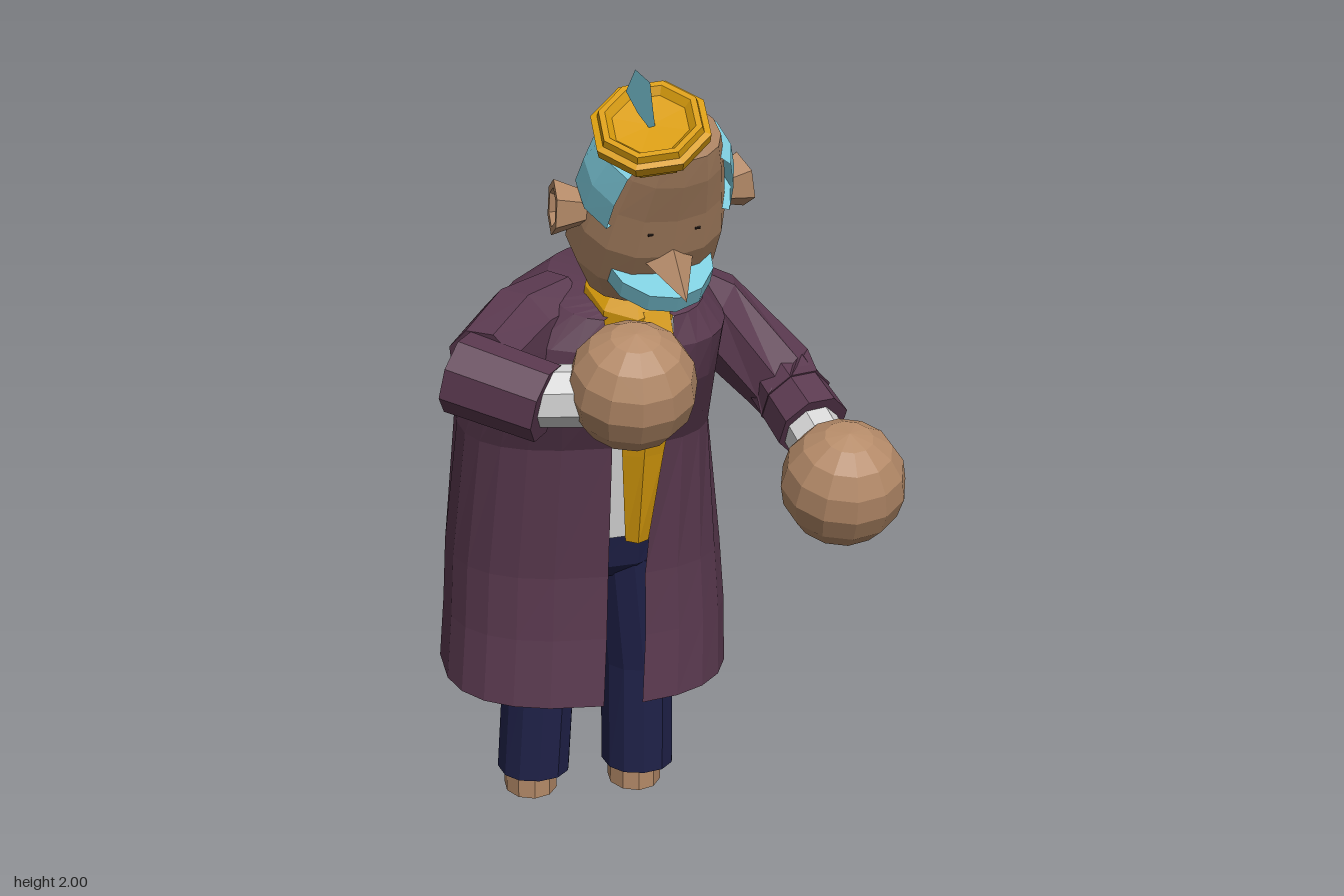
import * as THREE from 'three';

const mat = (name, color, side = THREE.FrontSide) => {
  const m = new THREE.MeshStandardMaterial({ color, side });
  m.name = name;
  return m;
};

// Faceted normals for the low-poly look
function facet(geo) {
  const g = geo.index ? geo.toNonIndexed() : geo;
  g.computeVertexNormals();
  return g;
}

// Skin a list of rings (arrays of Vector3), each ring counter-clockwise about the path
function loft(rings, closed = true, capped = true) {
  const pos = [];
  const tri = (...p) => p.forEach((v) => pos.push(v.x, v.y, v.z));
  const n = rings[0].length;
  for (let r = 0; r < rings.length - 1; r++) {
    for (let i = 0; i < (closed ? n : n - 1); i++) {
      const j = (i + 1) % n, a = rings[r], b = rings[r + 1];
      tri(a[i], a[j], b[j]);
      tri(a[i], b[j], b[i]);
    }
  }
  if (closed && capped) {
    [rings[0], rings[rings.length - 1]].forEach((ring, end) => {
      const c = ring.reduce((s, v) => s.add(v), new THREE.Vector3()).divideScalar(n);
      ring.forEach((v, i) => {
        const w = ring[(i + 1) % n];
        if (end) tri(c, v, w); else tri(c, w, v);
      });
    });
  }
  const g = new THREE.BufferGeometry();
  g.setAttribute('position', new THREE.Float32BufferAttribute(pos, 3));
  return g;
}

// Rounded cross-section: level = [yBack, yFront, xMin, xMax, zBack, zFront];
// smaller exponents give squarer corners
function section([yb, yf, x0, x1, zb, zf], angles, eFront = 1, eBack = eFront) {
  return angles.map((a) => {
    const pw = (v) => Math.sign(v) * Math.abs(v) ** (Math.cos(a) > 0 ? eFront : eBack);
    const s = pw(Math.sin(a)), c = pw(Math.cos(a));
    return new THREE.Vector3((x0 + x1) / 2 + s * (x1 - x0) / 2,
      yb + (yf - yb) * (c + 1) / 2, (zb + zf) / 2 + c * (zf - zb) / 2);
  });
}
const span = (a, b, n) => Array.from({ length: n + 1 }, (_, i) => a + (b - a) * i / n);
const around = (n) => span(0, Math.PI * 2, n).slice(0, n);

// Limb through stations [x, y, z, radius]
function limb(stations, sides = 8) {
  const pts = stations.map((s) => new THREE.Vector3(s[0], s[1], s[2]));
  return loft(pts.map((p, k) => {
    const t = pts[Math.min(k + 1, pts.length - 1)].clone().sub(pts[Math.max(k - 1, 0)]).normalize();
    const u = new THREE.Vector3(0, 1, 0).addScaledVector(t, -t.y).normalize();
    const v = t.clone().cross(u);
    return around(sides).map((a) => p.clone()
      .addScaledVector(u, Math.cos(a + 0.39) * stations[k][3])
      .addScaledVector(v, Math.sin(a + 0.39) * stations[k][3]));
  }));
}

export function createModel() {
  const model = new THREE.Group();
  const skin = mat('skin', 0xb48a68);
  const plum = mat('plum cloth', 0x5a394f, THREE.DoubleSide);
  const navy = mat('navy cloth', 0x20224a);
  const gold = mat('gold', 0xd79b0c, THREE.DoubleSide);
  const aqua = mat('aqua hair', 0x7dcbdc, THREE.DoubleSide);
  const white = mat('white cloth', 0xd6d6d6);
  const dark = mat('dark eye', 0x2c1f1a);
  const add = (name, geo, m, parent = model) => {
    const mesh = new THREE.Mesh(facet(geo), m);
    mesh.name = name;
    parent.add(mesh);
    return mesh;
  };

  // Legs and feet
  [[-0.278, -0.262, -0.25, 'right'], [-0.015, -0.018, -0.05, 'left']].forEach(([x, knee, hip, side]) => {
    add(side + 'Leg', loft([[0.06, x, -0.312, -0.1], [0.35, knee, -0.302, -0.08], [0.66, hip, -0.25, -0.03]]
      .map(([y, cx, zb, zf]) => section([y, y, cx - 0.09, cx + 0.09, zb, zf], around(12), 0.9))), navy);
    const foot = new THREE.CylinderGeometry(0.066, 0.066, 0.07, 10);
    foot.scale(1, 1, 1.25).translate(x - 0.008, 0.035, -0.208);
    add(side + 'Foot', foot, skin);
  });
  add('hips', loft([[0.62, 0.62, -0.32, 0.02, -0.28, -0.05], [0.66, 0.66, -0.34, 0.04, -0.3, -0.01],
    [0.79, 0.77, -0.34, 0.04, -0.3, 0.02]].map((l) => section(l, around(12), 0.8))), navy);

  // Shirt inside the coat
  add('shirt', loft([[0.75, 0.75, -0.33, 0.04, -0.3, 0.026], [1.0, 1.0, -0.33, 0.06, -0.3, 0.062],
    [1.2, 1.17, -0.3, 0.08, -0.2, 0.142], [1.34, 1.28, -0.18, 0.03, -0.05, 0.135]]
    .map((l) => section(l, around(12), 0.8))), white);

  // Long coat, open down the front; the last two numbers are the opening edges
  const coat = [
    [0.36, 0.33, -0.5, 0.2, -0.505, 0.06, -0.14, -0.045],
    [0.5, 0.5, -0.487, 0.2, -0.512, 0.045, -0.13, -0.035],
    [0.66, 0.66, -0.48, 0.188, -0.505, 0.042, -0.125, -0.035],
    [1.0, 1.0, -0.455, 0.148, -0.425, 0.08, -0.12, -0.008],
    [1.2, 1.17, -0.41, 0.145, -0.325, 0.165, -0.13, 0.003],
    [1.35, 1.27, -0.35, 0.155, -0.235, 0.178, -0.14, 0.005],
    [1.425, 1.34, -0.25, 0.1, -0.165, 0.165, -0.15, 0.01],
    [1.44, 1.35, -0.15, 0.0, -0.03, 0.15, -0.12, -0.02],
  ];
  const coatRings = coat.map((l, k) => {
    const e = k < 4 ? 0.8 : 0.68;
    const edge = (x) => {
      const s = (x - (l[2] + l[3]) / 2) / ((l[3] - l[2]) / 2);
      return Math.sign(s) * Math.asin(Math.abs(s) ** (1 / e));
    };
    const ring = section(l, span(edge(l[7]), Math.PI * 2 + edge(l[6]), 22), e, 0.7);
    // Tuck in the rear right corner and add hem folds
    const fade = Math.max(0, 1 - k / 3);
    ring.forEach((v, i) => {
      if (v.x < -0.28 && v.z < -0.37) v.z += (-0.38 - v.z) * fade;
      else if (v.z < -0.25 && i % 2) v.z += 0.012 * fade;
    });
    return ring;
  });
  add('coat', loft(coatRings, false), plum);

  // Arms: upper sleeve, lower sleeve, cuff and round hand
  const arms = {
    left: {
      upper: [[0.03, 1.32, -0.08, 0.1], [0.14, 1.27, -0.085, 0.1], [0.3, 1.11, -0.04, 0.094], [0.325, 1.075, 0.03, 0.092]],
      lower: [[0.3, 1.11, -0.04, 0.085], [0.35, 1.035, 0.11, 0.09]],
      cuff: [[0.34, 1.04, 0.08, 0.069], [0.365, 0.99, 0.22, 0.069]], hand: [0.378, 0.968, 0.302],
    },
    right: {
      upper: [[-0.22, 1.32, -0.02, 0.09], [-0.33, 1.3, 0.06, 0.1], [-0.43, 1.265, 0.2, 0.09]],
      lower: [[-0.492, 1.262, 0.225, 0.094], [-0.305, 1.213, 0.333, 0.09]],
      cuff: [[-0.34, 1.225, 0.31, 0.07], [-0.2, 1.23, 0.345, 0.07]], hand: [-0.12, 1.255, 0.363],
    },
  };
  for (const [side, a] of Object.entries(arms)) {
    add(side + 'UpperSleeve', limb(a.upper), plum);
    add(side + 'LowerSleeve', limb(a.lower), plum);
    add(side + 'Cuff', limb(a.cuff), white);
    add(side + 'Hand', new THREE.SphereGeometry(0.146, 12, 8).rotateX(0.35), skin).position.set(...a.hand);
  }

  // Collar, necktie and neck
  add('collar', loft([[1.4, 1.29, -0.185, 0.035, -0.05, 0.175], [1.455, 1.345, -0.18, 0.03, -0.04, 0.185],
    [1.485, 1.385, -0.15, 0, -0.005, 0.165]].map((l) => section(l, around(8))), true, false), gold);
  const tie = [[0.765, -0.09, -0.035, 0.1], [1.0, -0.105, -0.008, 0.15], [1.18, -0.12, 0.015, 0.19],
    [1.28, -0.115, 0.01, 0.2], [1.36, -0.12, 0, 0.175]];
  add('necktie', loft(tie.map(([y, x0, x1, z]) => [new THREE.Vector3(x0, y, z - 0.02),
    new THREE.Vector3((x0 + x1) / 2, y, z), new THREE.Vector3(x1, y, z - 0.02)]), false), gold);
  add('neck', limb([[-0.075, 1.36, 0.05, 0.07], [-0.075, 1.5, 0.13, 0.07]]), skin);

  // Head, leaning forward, turned and rolled slightly
  const head = new THREE.Group();
  head.name = 'head';
  head.position.set(-0.055, 1.41, 0.14);
  head.rotation.set(0.52, 0.22, 0.05, 'YXZ');
  model.add(head);
  const skull = (t, hw, zb, zf, grow = 0) => [t, t, -hw - grow, hw + grow, zb - grow, zf + grow];
  add('skull', loft([[-0.04, 0.06, -0.09, 0], [0, 0.125, -0.14, 0.04], [0.1, 0.172, -0.215, 0.09],
    [0.2, 0.17, -0.205, 0.1], [0.3, 0.152, -0.18, 0.088], [0.4, 0.128, -0.15, 0.085],
    [0.47, 0.105, -0.105, 0.075], [0.505, 0.06, -0.06, 0.04]]
    .map((l) => section(skull(...l), around(14), 0.9))), skin, head);

  // Hair band round the back of the head
  add('hair', loft([[0.262, 0.157, -0.187, 0.09, 0], [0.265, 0.157, -0.187, 0.09, 0.017],
    [0.34, 0.143, -0.168, 0.085, 0.024], [0.415, 0.123, -0.14, 0.082, 0.02], [0.43, 0.115, -0.13, 0.08, 0]]
    .map((l) => section(skull(...l), span(0.95, Math.PI * 2 - 0.95, 9), 0.9)), false), aqua, head);

  // Curved moustache
  const arc = (rx, rz, z, a0, a1) => span(a0, a1, 6)
    .map((a) => new THREE.Vector2(Math.cos(a) * rx, z + Math.sin(a) * rz));
  const lip = new THREE.Shape([...arc(0.124, 0.14, 0.03, 0, Math.PI), ...arc(0.1, 0.075, 0.02, Math.PI, 0)]);
  add('moustache', new THREE.ExtrudeGeometry(lip, { depth: 0.045, bevelEnabled: false })
    .rotateX(Math.PI / 2).translate(0, 0.142, 0), aqua, head);

  const nose = add('nose', new THREE.ConeGeometry(0.06, 0.13, 4).scale(1, 1, 0.8).rotateX(Math.PI / 2), skin, head);
  nose.position.set(0, 0.175, 0.143);
  nose.rotation.x = 0.1;

  // Ears and eyes, mirrored
  const earProfile = [[0, 0], [0.035, 0], [0.064, 0.08], [0.045, 0.08], [0.03, 0.055], [0, 0.055]];
  for (const s of [1, -1]) {
    const side = s > 0 ? 'left' : 'right';
    const ear = new THREE.LatheGeometry(earProfile.map((p) => new THREE.Vector2(...p)), 6).rotateZ(-s * Math.PI / 2);
    const earMesh = add(side + 'Ear', ear, skin, head);
    earMesh.position.set(s * 0.145, 0.225, -0.06);
    earMesh.rotation.y = s * 0.2;
    add(side + 'Eye', new THREE.BoxGeometry(0.012, 0.005, 0.008), dark, head)
      .position.set(s * 0.055, 0.265, 0.082);
  }

  // Small stepped hat with a feather
  const hatProfile = [[0, 0], [0.1, 0], [0.112, 0.03], [0.13, 0.035], [0.133, 0.058], [0.118, 0.062],
    [0.114, 0.078], [0.1, 0.078], [0.085, 0.062], [0, 0.058]];
  const hat = add('hat', new THREE.LatheGeometry(hatProfile.map((p) => new THREE.Vector2(...p)), 8), gold, head);
  hat.position.set(-0.05, 0.455, -0.005);
  hat.rotation.set(-0.05, 0.2, 0.2);
  const leaf = new THREE.Shape([[-0.06, 0.5], [-0.05, 0.5], [-0.065, 0.56], [-0.085, 0.645], [-0.125, 0.69],
    [-0.137, 0.63], [-0.1, 0.56]].map((p) => new THREE.Vector2(...p)));
  add('feather', new THREE.ShapeGeometry(leaf), aqua, head);
  return model;
}
